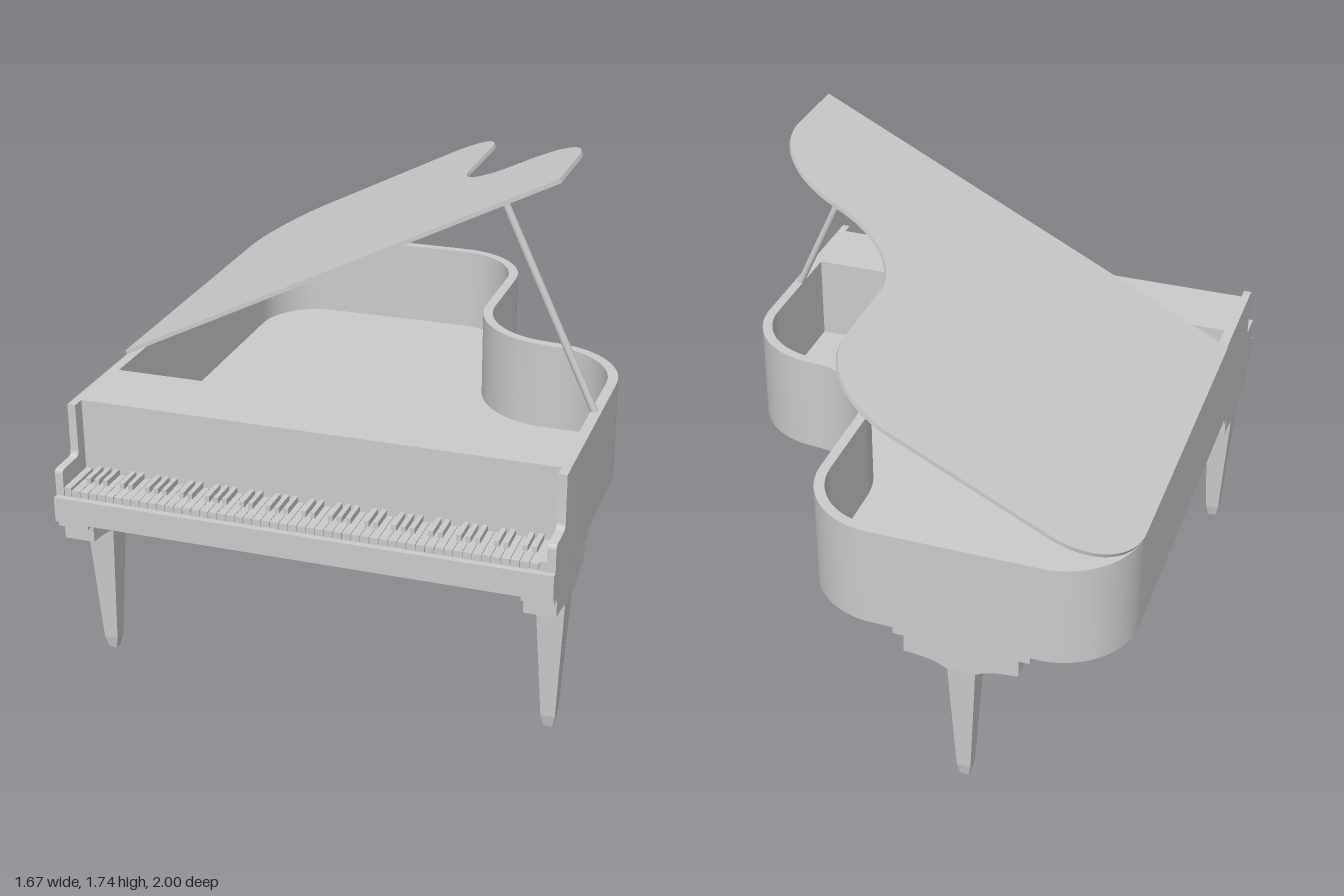
import * as THREE from 'three';
import { toCreasedNormals } from 'three/addons/utils/BufferGeometryUtils.js';

const W = 0.833; // half width of the case
const grey = new THREE.MeshStandardMaterial({ color: 0xcccccc });
const faceted = new THREE.MeshStandardMaterial({ color: 0xcccccc, flatShading: true });

function add(parent, name, geometry, material = grey) {
  const mesh = new THREE.Mesh(geometry, material);
  mesh.name = name;
  parent.add(mesh);
  return mesh;
}

function box(parent, name, x0, x1, y0, y1, z0, z1) {
  const geometry = new THREE.BoxGeometry(x1 - x0, y1 - y0, z1 - z0);
  geometry.translate((x0 + x1) / 2, (y0 + y1) / 2, (z0 + z1) / 2);
  return add(parent, name, geometry, faceted);
}

const extrude = (shape, depth) => toCreasedNormals(
  new THREE.ExtrudeGeometry(shape, { depth, bevelEnabled: false, curveSegments: 24 }), 0.5);

// Plan outline of the case (shape y is -z), cut off at a front line and inset all round
function outline(front, inset = 0) {
  const s = new THREE.Shape();
  s.moveTo(-W + inset, -front);
  s.lineTo(W - inset, -front);
  s.absarc(0.54, -0.15, 0.293 - inset, 0, Math.PI / 2, false);
  s.absarc(0.54, 0.425, 0.28 + inset, Math.PI * 1.5, Math.PI, true);
  s.absarc(-0.02, 0.72, 0.28 - inset, 0, Math.PI / 2, false);
  s.absarc(-0.573, 0.74, 0.26 - inset, Math.PI / 2, Math.PI, false);
  s.closePath();
  return s;
}

// Horizontal slab of the given plan between two heights
const slab = (shape, y0, y1) => extrude(shape, y1 - y0).rotateX(-Math.PI / 2).translate(0, y0, 0);

// Tapered square leg under a stepped bracket that runs along x
function makeLeg(name) {
  const leg = new THREE.Group();
  leg.name = name;
  const s = new THREE.Shape();
  s.moveTo(-0.23, 0.605);
  s.lineTo(-0.23, 0.58);
  s.lineTo(-0.193, 0.58);
  s.lineTo(-0.193, 0.517);
  s.quadraticCurveTo(-0.09, 0.512, -0.052, 0.485);
  s.lineTo(0.052, 0.485);
  s.quadraticCurveTo(0.09, 0.512, 0.193, 0.517);
  s.lineTo(0.193, 0.58);
  s.lineTo(0.23, 0.58);
  s.lineTo(0.23, 0.605);
  s.closePath();
  add(leg, 'legBracket', extrude(s, 0.105).translate(0, 0, -0.0525));
  const profile = [[0, 0], [0.014, 0], [0.024, 0.045], [0.048, 0.49]]
    .map(([r, y]) => new THREE.Vector2(r * Math.SQRT2, y));
  add(leg, 'legPost', new THREE.LatheGeometry(profile, 4).rotateY(Math.PI / 4), faceted);
  return leg;
}

export function createModel() {
  const piano = new THREE.Group();
  piano.name = 'grandPiano';

  // Case: bottom board, and rim with the open well behind the front board
  add(piano, 'bottomBoard', slab(outline(0.98), 0.605, 0.65));
  const rim = outline(0.82);
  rim.holes.push(outline(0.555, 0.035));
  add(piano, 'rim', slab(rim, 0.65, 0.967));

  // Keybed and key slip
  box(piano, 'keybed', -0.81, 0.81, 0.65, 0.69, 0.82, 0.98);
  box(piano, 'keySlip', -W, W, 0.605, 0.692, 0.98, 1);

  // Arms on both ends of the keyboard (shape x is z)
  const arm = new THREE.Shape();
  arm.moveTo(0.82, 0.65);
  arm.lineTo(0.98, 0.65);
  arm.lineTo(0.98, 0.77);
  arm.quadraticCurveTo(0.98, 0.785, 0.965, 0.785);
  arm.lineTo(0.885, 0.785);
  arm.quadraticCurveTo(0.865, 0.785, 0.865, 0.805);
  arm.lineTo(0.865, 0.967);
  arm.lineTo(0.82, 0.967);
  arm.closePath();
  for (const [name, x] of [['leftArm', W - 0.028], ['rightArm', -W]]) {
    add(piano, name, extrude(arm, 0.028).rotateY(-Math.PI / 2).translate(x + 0.028, 0, 0));
  }

  // Keyboard: 52 white keys starting on F, black keys in groups of three and two
  const keys = new THREE.Group();
  keys.name = 'keyboard';
  piano.add(keys);
  const pitch = 0.03;
  for (let i = 0; i < 52; i++) {
    const x = -0.78 + i * pitch;
    box(keys, 'whiteKey', x + 0.001, x + pitch - 0.001, 0.69, 0.713, 0.82, 0.975);
    if (i > 0 && [1, 2, 3, 5, 6].includes(i % 7)) {
      box(keys, 'blackKey', x - 0.008, x + 0.008, 0.7, 0.733, 0.82, 0.912);
    }
  }
  for (const s of [-1, 1]) {
    box(keys, 'keyBlock', s * 0.793 - 0.012, s * 0.793 + 0.012, 0.69, 0.722, 0.82, 0.975);
  }

  // Raised lid, hinged on the straight side
  const lid = add(piano, 'lid', slab(outline(0.42), 0, 0.014).translate(W, 0, 0).scale(1.018, 1, 1));
  lid.rotation.z = THREE.MathUtils.degToRad(26.8);
  lid.position.set(-W, 0.967, 0);

  // Lid prop
  const foot = new THREE.Vector3(0.812, 0.96, 0.385);
  const head = new THREE.Vector3(0.495, 1.643, 0.385);
  const span = head.clone().sub(foot);
  const prop = add(piano, 'lidProp', new THREE.CylinderGeometry(0.013, 0.013, span.length(), 12));
  prop.position.copy(foot).add(head).multiplyScalar(0.5);
  prop.quaternion.setFromUnitVectors(new THREE.Vector3(0, 1, 0), span.normalize());

  // Legs: two at the front turned along the sides, one at the tail
  for (const [name, x, z, turn] of [
    ['frontLeftLeg', 0.78, 0.75, Math.PI / 2],
    ['frontRightLeg', -0.78, 0.75, Math.PI / 2],
    ['rearLeg', -0.32, -0.947, 0],
  ]) {
    const leg = makeLeg(name);
    leg.position.set(x, 0, z);
    leg.rotation.y = turn;
    piano.add(leg);
  }
  return piano;
}
